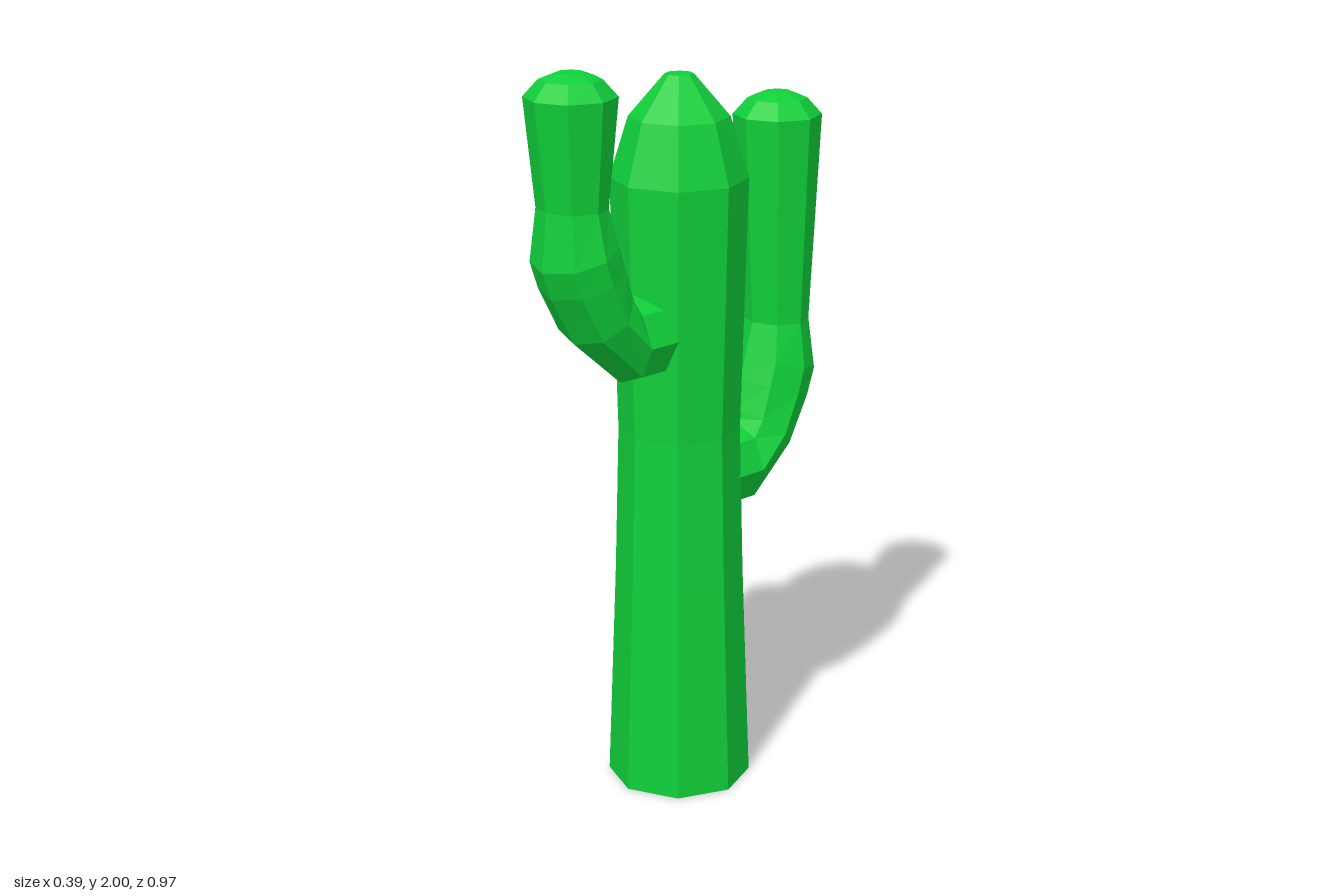
import * as THREE from 'three';

const SIDES = 8;
const material = new THREE.MeshStandardMaterial({ color: 0x10cf3a, flatShading: true });

function facetedMesh(geometry, name) {
  const flat = geometry.toNonIndexed();
  flat.computeVertexNormals();
  const mesh = new THREE.Mesh(flat, material);
  mesh.name = name;
  return mesh;
}

// Skin octagonal rings given as [outerZ, outerY, innerZ, innerY, halfWidth]
function ringSkin(rings) {
  const positions = [], index = [];
  for (const [oz, oy, iz, iy, w] of rings) {
    for (let s = 0; s < SIDES; s++) {
      const a = (s / SIDES) * Math.PI * 2, c = Math.cos(a);
      positions.push(w * Math.sin(a), (oy + iy) / 2 + c * (oy - iy) / 2, (oz + iz) / 2 + c * (oz - iz) / 2);
    }
  }
  for (let r = 0; r < rings.length - 1; r++) {
    for (let s = 0; s < SIDES; s++) {
      const a = r * SIDES + s, b = r * SIDES + (s + 1) % SIDES;
      index.push(a, b, b + SIDES, a, b + SIDES, a + SIDES);
    }
  }
  // Flat lids on both ends
  const last = (rings.length - 1) * SIDES;
  for (let s = 1; s < SIDES - 1; s++) {
    index.push(0, s + 1, s, last, last + s, last + s + 1);
  }
  const geometry = new THREE.BufferGeometry();
  geometry.setAttribute('position', new THREE.Float32BufferAttribute(positions, 3));
  geometry.setIndex(index);
  return geometry;
}

// Arm: stub out of the trunk, upward bend, narrow neck, flared tip, low dome
function createArm(name, lift, tipY) {
  const bend = [
    [0.08, 1.17, 0.08, 1.40, 0.12],
    [0.207, 1.17, 0.207, 1.40, 0.12],
    [0.365, 1.305, 0.215, 1.43, 0.12],
    [0.44, 1.435, 0.236, 1.51, 0.12],
    [0.468, 1.51, 0.253, 1.57, 0.12],
    [0.453, 1.66, 0.28, 1.66, 0.097],
  ].map(([oz, oy, iz, iy, w]) => [oz, oy + lift, iz, iy + lift, w]);
  const tip = [[0.119, 0], [0.08, 0.043], [0.037, 0.06]]
    .map(([r, h]) => [0.367 + r, tipY + h, 0.367 - r, tipY + h, r]);
  return facetedMesh(ringSkin([...bend, ...tip]), name);
}

export function createModel() {
  const group = new THREE.Group();
  group.name = 'cactus';

  // Trunk: waisted column with a tapered crown
  const profile = [[0, 0], [0.194, 0], [0.172, 0.6], [0.162, 1.0], [0.181, 1.68], [0.132, 1.84], [0.038, 1.95], [0, 1.95]]
    .map(([r, y]) => new THREE.Vector2(r, y));
  const trunk = facetedMesh(new THREE.LatheGeometry(profile, SIDES), 'trunk');
  trunk.position.set(-0.002, 0, -0.006);

  const frontArm = createArm('frontArm', 0, 1.94);
  const backArm = createArm('backArm', -0.424, 1.797);
  backArm.rotation.y = Math.PI;

  group.add(trunk, frontArm, backArm);
  return group;
}
